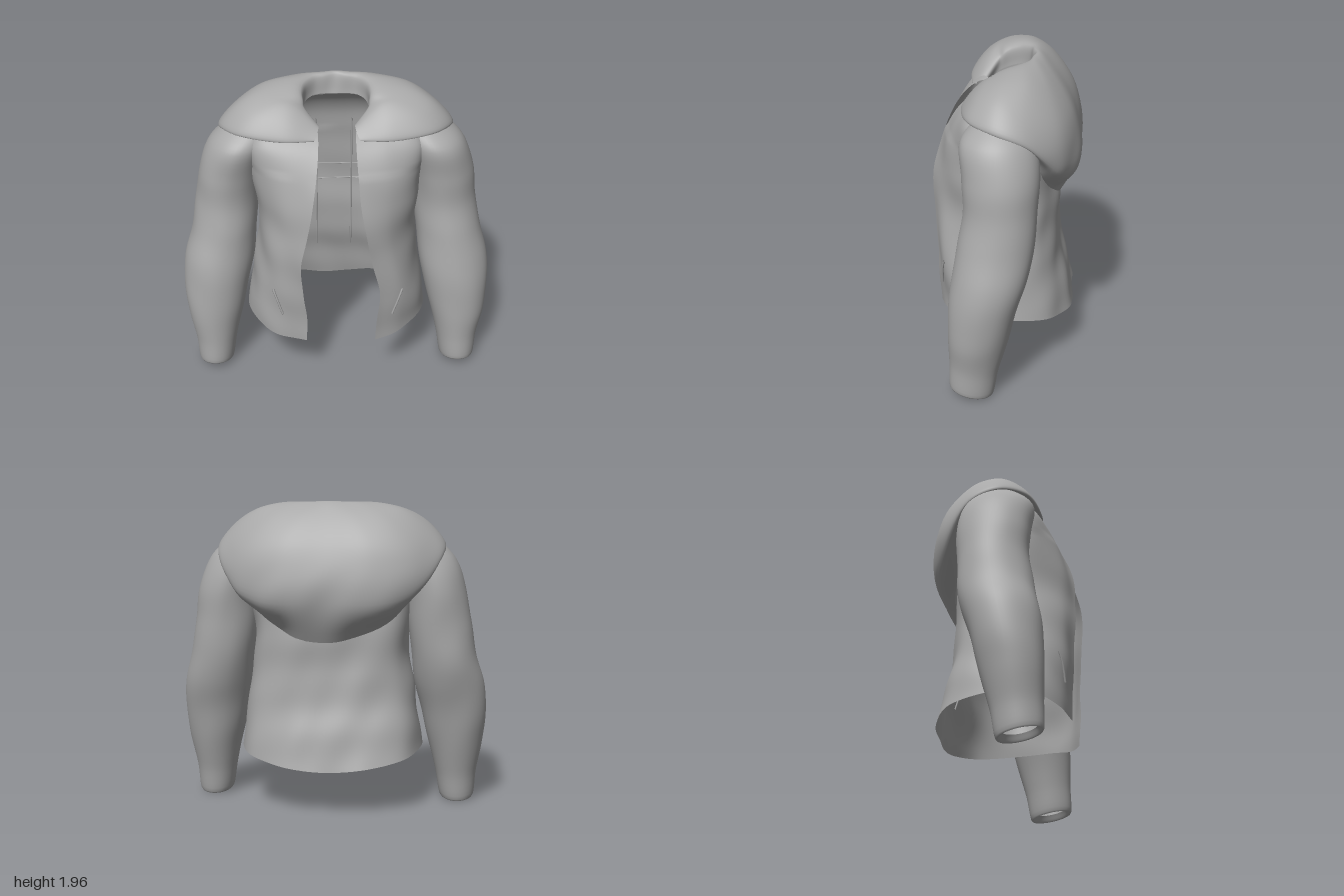
import * as THREE from 'three';

const fabric = new THREE.MeshStandardMaterial({ color: 0xa8a8a8, side: THREE.DoubleSide });
fabric.name = 'grey fabric';

const V = (x, y, z) => new THREE.Vector3(x, y, z);

// Smooth surface through rows of control points
function patch(rows, nu, nv, closed = false) {
  const across = rows.map(r => new THREE.CatmullRomCurve3(r, closed).getPoints(nu));
  const cols = closed ? nu : nu + 1;
  const pos = [], index = [];
  for (let j = 0; j < cols; j++) {
    const line = new THREE.CatmullRomCurve3(across.map(g => g[j])).getPoints(nv);
    line.forEach(p => pos.push(p.x, p.y, p.z));
  }
  for (let j = 0; j < nu; j++) {
    for (let i = 0; i < nv; i++) {
      const a = j * (nv + 1) + i, b = ((j + 1) % cols) * (nv + 1) + i;
      index.push(a, b, a + 1, b, b + 1, a + 1);
    }
  }
  const geo = new THREE.BufferGeometry();
  geo.setAttribute('position', new THREE.Float32BufferAttribute(pos, 3));
  geo.setIndex(index);
  geo.computeVertexNormals();
  return geo;
}

// Cloth folds: push vertices along their normals
function fold(geo, amount) {
  const p = geo.attributes.position, n = geo.attributes.normal;
  for (let i = 0; i < p.count; i++) {
    const x = p.getX(i), y = p.getY(i), z = p.getZ(i);
    const wave = Math.sin(11 * x + 5 * y + 1) * Math.sin(5 * y - 9 * z)
      + 0.6 * Math.sin(15 * y + 14 * x + 6 * z) * Math.sin(11 * x - 5 * y + 2);
    const d = amount(x, y, z) * wave;
    p.setXYZ(i, x + n.getX(i) * d, y + n.getY(i) * d, z + n.getZ(i) * d);
  }
  geo.computeVertexNormals();
  return geo;
}

function add(group, geo, name) {
  const mesh = new THREE.Mesh(geo, fabric);
  mesh.name = name;
  group.add(mesh);
  return mesh;
}

// Torso levels: y, left edge x, right edge x, front z, half width, back z, fullness of the front corner
const TORSO = [
  [0.30, 0.24, 0.20, 0.42, 0.585, -0.425, 0.52],
  [0.50, 0.25, 0.20, 0.435, 0.57, -0.385, 0.54],
  [0.70, 0.27, 0.22, 0.445, 0.54, -0.338, 0.54],
  [0.90, 0.22, 0.23, 0.45, 0.51, -0.32, 0.50],
  [1.10, 0.18, 0.20, 0.465, 0.50, -0.325, 0.46],
  [1.30, 0.145, 0.16, 0.452, 0.52, -0.315, 0.50],
  [1.50, 0.125, 0.13, 0.385, 0.54, -0.295, 0.60],
  [1.65, 0.115, 0.115, 0.292, 0.54, -0.27, 0.74],
  [1.76, 0.115, 0.115, 0.195, 0.44, -0.21, 0.70],
  [1.82, 0.125, 0.125, 0.13, 0.23, -0.14, 0.48],
];

function torsoGeometry() {
  const rows = TORSO.map(([y, xl, xr, zf, w, zb, full], k) => {
    const lift = k === 0 ? 0.09 : k === 1 ? 0.03 : 0;
    const drop = k === 9 ? 0.1 : k === 8 ? 0.04 : 0; // neckline dips in front
    const half = (s, xe) => [
      V(s * xe, y - drop + lift * 0.3, zf),
      V(s * (xe + (w - xe) * 0.5), y - drop * 0.5 + lift * 0.5, zf * (0.62 + full * 0.44)),
      V(s * w * 0.93, y + lift, zf * full),
      V(s * w, y + lift, 0),
      V(s * w * 0.85, y + lift * 0.6, zb * 0.65),
      V(s * w * 0.45, y + lift * 0.1, zb * 0.95),
    ];
    return [...half(1, xl), V(0, y - lift * 0.15, zb), ...half(-1, xr).reverse()];
  });
  return fold(patch(rows, 96, 60), (x, y) => (y > 1.5 ? 0.002 : 0.009));
}

// Sleeve rings: y, inner x, outer x, back z, front z, tilt
const SLEEVE = [
  [0.07, 0.725, 0.895, 0.08, 0.28, 0.02],
  [0.028, 0.705, 0.92, 0.05, 0.31, 0.026],
  [0.20, 0.67, 0.94, 0.01, 0.315, 0.02],
  [0.40, 0.625, 0.98, -0.05, 0.32, 0],
  [0.60, 0.575, 0.998, -0.10, 0.315, 0],
  [0.80, 0.535, 0.982, -0.16, 0.295, 0],
  [1.00, 0.51, 0.93, -0.205, 0.26, 0],
  [1.20, 0.49, 0.893, -0.215, 0.225, 0],
  [1.40, 0.47, 0.862, -0.225, 0.235, 0],
  [1.60, 0.42, 0.79, -0.20, 0.25, 0],
  [1.70, 0.38, 0.69, -0.15, 0.18, 0],
  [1.77, 0.38, 0.58, -0.08, 0.11, 0],
  [1.81, 0.42, 0.48, -0.03, 0.04, 0],
];

function sleeveGeometry(side) {
  const rows = SLEEVE.map(([y, xi, xo, zb, zf, tilt]) => Array.from({ length: 12 }, (_, i) => {
    const a = i / 12 * Math.PI * 2, c = Math.cos(a), s = Math.sin(a);
    return V(side * ((xi + xo) / 2 + c * (xo - xi) / 2), y + tilt * s, (zb + zf) / 2 + s * (zf - zb) / 2);
  }));
  return fold(patch(rows, 48, 72, true), (x, y) => 0.004 * THREE.MathUtils.smoothstep(y, 0.1, 0.5));
}

// Lowered hood sections from front end to centre back:
// inner neck, rim, crown, outer face, lower edge, tuck under
const HOOD = [
  [[.125, 1.70, .15], [.11, 1.75, .15], [.11, 1.755, .18], [.12, 1.73, .22], [.14, 1.695, .25], [.14, 1.69, .22]],
  [[.19, 1.76, .09], [.20, 1.85, .08], [.27, 1.875, .12], [.32, 1.80, .21], [.33, 1.70, .268], [.33, 1.695, .23]],
  [[.20, 1.78, .05], [.21, 1.89, .05], [.36, 1.90, .085], [.52, 1.82, .155], [.59, 1.715, .20], [.54, 1.70, .16]],
  [[.20, 1.80, 0], [.215, 1.92, 0], [.42, 1.925, -.01], [.60, 1.84, .03], [.715, 1.695, .04], [.65, 1.68, .03]],
  [[.18, 1.82, -.06], [.195, 1.94, -.07], [.43, 1.92, -.12], [.63, 1.77, -.13], [.71, 1.62, -.15], [.62, 1.57, -.16]],
  [[.13, 1.83, -.11], [.14, 1.95, -.13], [.35, 1.885, -.23], [.53, 1.65, -.325], [.55, 1.40, -.34], [.45, 1.28, -.25]],
  [[.06, 1.83, -.13], [.07, 1.955, -.15], [.18, 1.88, -.27], [.28, 1.66, -.405], [.30, 1.34, -.435], [.24, 1.14, -.31]],
  [[0, 1.83, -.13], [0, 1.96, -.17], [0, 1.88, -.27], [0, 1.66, -.405], [0, 1.35, -.455], [0, 1.09, -.33]],
];

function hoodGeometry() {
  const left = HOOD.map(r => r.map(p => V(...p)));
  const right = HOOD.slice(0, -1).reverse().map(r => r.map(([x, y, z]) => V(-x, y, z)));
  const geo = patch([...left, ...right], 40, 112);
  return fold(geo, (x, y, z) => (z < -0.2 ? 0.009 * THREE.MathUtils.smoothstep(1.6 - y, 0, 0.3) : 0));
}

// Thin raised seam laid onto the torso, cast along z
function seam(group, torso, name, from, to, startZ, radius) {
  const ray = new THREE.Raycaster();
  const pts = [];
  for (let i = 0; i <= 24; i++) {
    const x = from[0] + (to[0] - from[0]) * i / 24, y = from[1] + (to[1] - from[1]) * i / 24;
    ray.set(V(x, y, startZ), V(0, 0, -1));
    const hit = ray.intersectObject(torso)[0];
    if (hit) pts.push(hit.point.add(V(0, 0, radius + 0.001)));
  }
  if (pts.length > 1) {
    add(group, new THREE.TubeGeometry(new THREE.CatmullRomCurve3(pts), 48, radius, 6), name);
  }
}

export function createModel() {
  const jacket = new THREE.Group();
  jacket.name = 'jacket';

  const torso = add(jacket, torsoGeometry(), 'torso');
  add(jacket, sleeveGeometry(1), 'leftSleeve');
  add(jacket, sleeveGeometry(-1), 'rightSleeve');
  add(jacket, hoodGeometry(), 'hood');

  // Pocket welts on the front panels
  for (const s of [1, -1]) {
    const name = s > 0 ? 'leftPocket' : 'rightPocket';
    seam(jacket, torso, name, [s * 0.41, 0.70], [s * 0.35, 0.52], 1, 0.007);
  }
  // Lining seams inside the back panel
  for (const x of [-0.12, 0.11]) seam(jacket, torso, 'liningSeam', [x, 1.58], [x, 0.57], 0.1, 0.006);
  for (const y of [1.23, 1.115]) seam(jacket, torso, 'liningBand', [-0.2, y], [0.18, y], 0.1, 0.004);

  return jacket;
}
